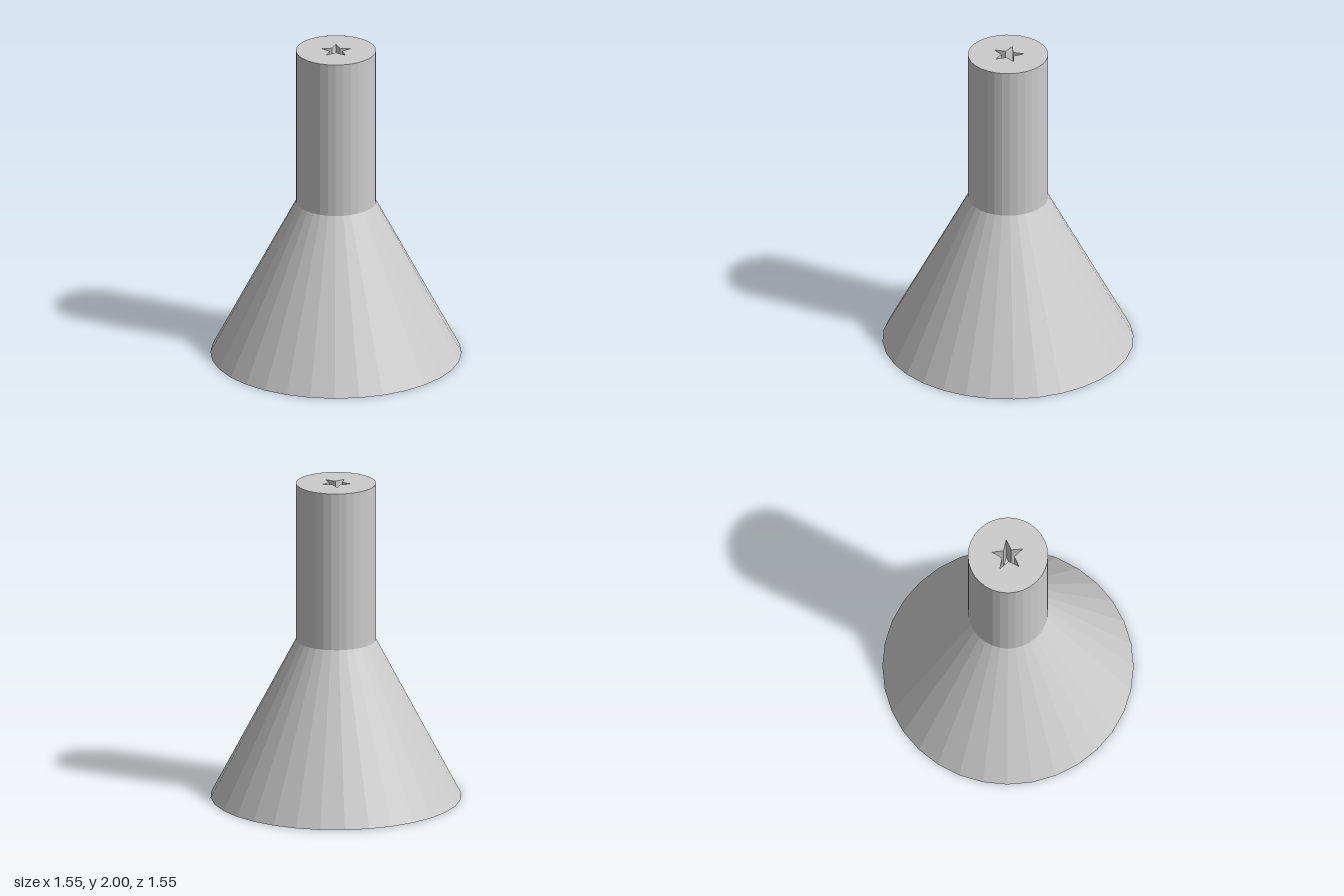
import * as THREE from 'three';

const SIDES = 32, STEM_R = 0.247, BASE_R = 0.773;
const STAR_R = 0.1, STAR_INNER = 0.04, DEPTH = 0.3;

// Points of a regular outline; odd corners may use a second radius
const ring = (n, r, r2 = r) => Array.from({ length: n }, (_, i) => {
  const a = Math.PI / 2 + (i / n) * Math.PI * 2, d = i % 2 ? r2 : r;
  return new THREE.Vector2(d * Math.cos(a), d * Math.sin(a));
});

export function createModel() {
  const group = new THREE.Group();
  const material = new THREE.MeshStandardMaterial({ color: 0xcccccc, flatShading: true });
  const add = (name, geometry, y = 0) => {
    const mesh = new THREE.Mesh(geometry, material);
    mesh.name = name;
    mesh.position.y = y;
    group.add(mesh);
  };
  const flat = (shape) => new THREE.ShapeGeometry(shape).rotateX(-Math.PI / 2);

  // Flared base with its closed underside
  add('flaredBase', new THREE.CylinderGeometry(STEM_R, BASE_R, 1, SIDES, 1, true), 0.5);
  add('underside', new THREE.CircleGeometry(BASE_R, SIDES).rotateX(Math.PI / 2));

  // Straight stem
  add('stem', new THREE.CylinderGeometry(STEM_R, STEM_R, 1, SIDES, 1, true), 1.5);

  // Top face with a star-shaped opening
  const star = ring(10, STAR_R, STAR_INNER);
  const top = new THREE.Shape(ring(SIDES, STEM_R));
  top.holes.push(new THREE.Path(star));
  add('topFace', flat(top), 2);

  // Socket walls: a ten-sided tube pinched at every other corner, facing inward
  const walls = new THREE.CylinderGeometry(STAR_R, STAR_R, DEPTH, 10, 1, true);
  const p = walls.attributes.position;
  for (let i = 0; i < p.count; i++) {
    if ((i % 11) % 2 === 0) {
      const s = STAR_INNER / STAR_R;
      p.setXYZ(i, p.getX(i) * s, p.getY(i), p.getZ(i) * s);
    }
  }
  walls.index.array.reverse();
  walls.computeVertexNormals();
  add('socketWalls', walls, 2 - DEPTH / 2);
  add('socketFloor', flat(new THREE.Shape(star)), 2 - DEPTH);

  return group;
}
